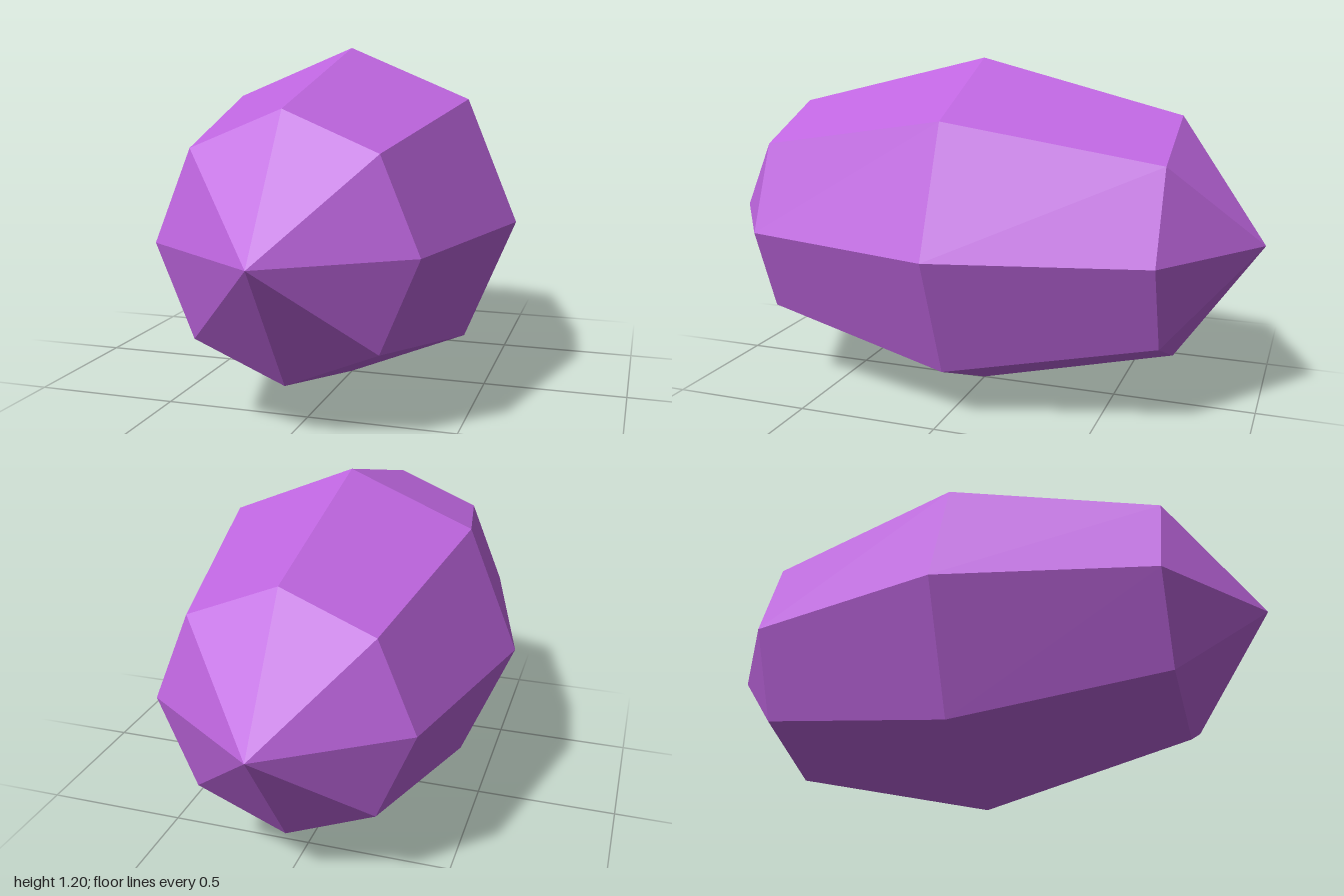
import * as THREE from 'three';

export function createModel() {
  const group = new THREE.Group();
  group.name = 'gem';

  const purple = new THREE.MeshStandardMaterial({ color: 0xbf66e0, flatShading: true });
  purple.name = 'purple';

  // Eight-sided faceted crystal: a coarse sphere narrowed, then laid along z
  const geometry = new THREE.SphereGeometry(1, 8, 4);
  geometry.scale(0.6, 1, 0.6);
  geometry.rotateX(Math.PI / 2);
  geometry.translate(0, 0.6, 0);

  const crystal = new THREE.Mesh(geometry.toNonIndexed(), purple);
  crystal.geometry.computeVertexNormals();
  crystal.name = 'crystal';
  group.add(crystal);

  return group;
}
